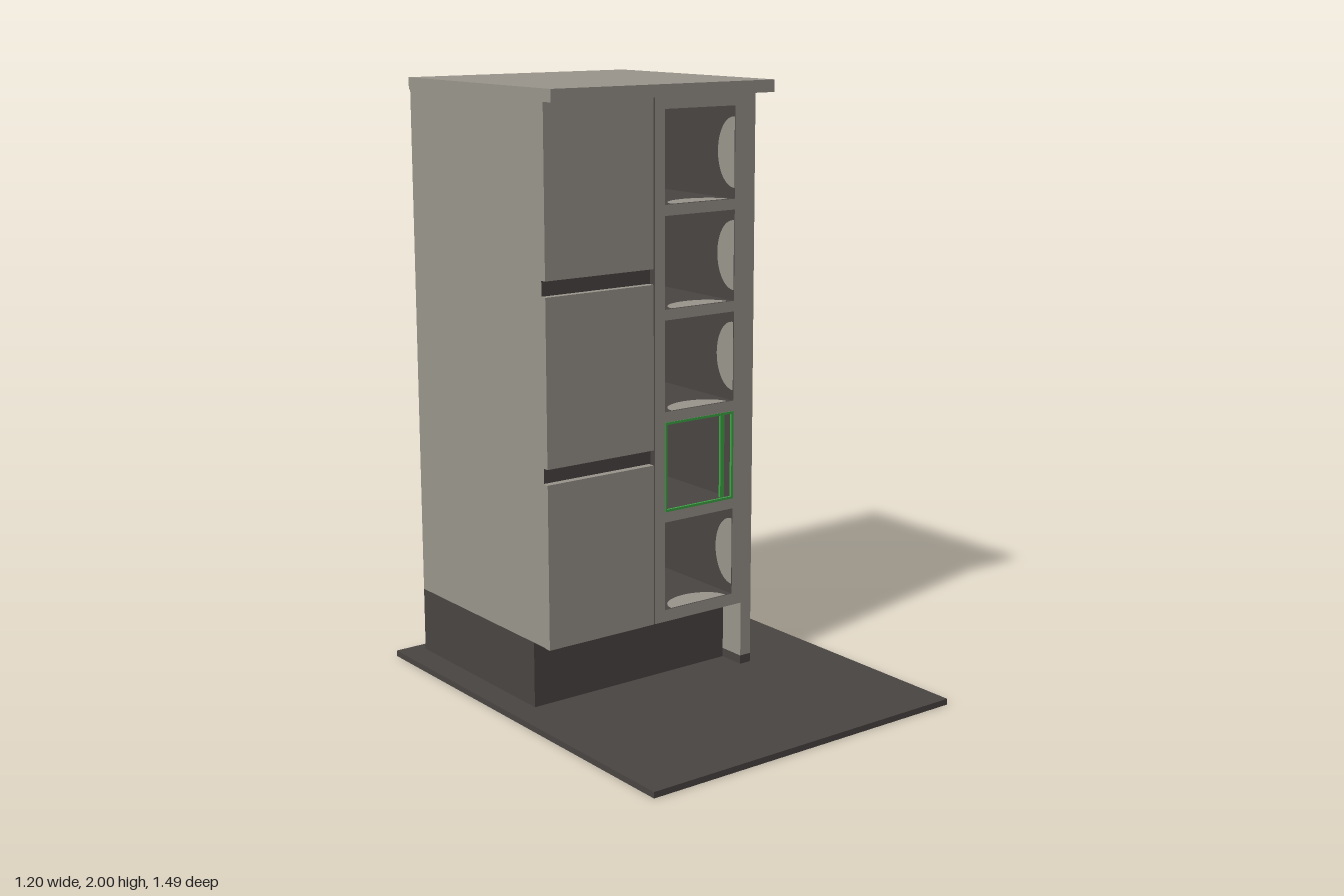
import * as THREE from 'three';

const stone = new THREE.MeshStandardMaterial({ color: 0x9a968d });
stone.name = 'warm grey';
const dark = new THREE.MeshStandardMaterial({ color: 0x4a4543 });
dark.name = 'dark grey';
const green = new THREE.MeshStandardMaterial({ color: 0x3fa846 });
green.name = 'green';

export function createModel() {
  const model = new THREE.Group();
  model.name = 'cabinet';

  // Box given by its minimum and maximum corners
  function box(name, material, [x0, y0, z0], [x1, y1, z1]) {
    const geometry = new THREE.BoxGeometry(x1 - x0, y1 - y0, z1 - z0);
    geometry.translate((x0 + x1) / 2, (y0 + y1) / 2, (z0 + z1) / 2);
    const mesh = new THREE.Mesh(geometry, material);
    mesh.name = name;
    model.add(mesh);
  }

  const front = 0.085, back = -0.7;

  // Floor plate, recessed plinth and worktop with a dark underside
  box('floorPlate', dark, [-0.6, 0, -0.745], [0.6, 0.02, 0.745]);
  box('plinth', dark, [-0.51, 0.02, back], [0.27, 0.24, -0.01]);
  box('worktop', [stone, stone, stone, dark, stone, stone], [-0.515, 1.96, back], [0.355, 2, 0.13]);

  // Drawer carcass: dark front shows in the grip gaps
  box('drawerCarcass', [stone, stone, stone, dark, dark, stone], [-0.51, 0.24, back], [-0.095, 1.96, 0.06]);
  for (const [y0, y1] of [[0.24, 0.78], [0.83, 1.37], [1.42, 1.96]]) {
    box('drawerFront', stone, [-0.513, y0, 0.06], [-0.1, y1, front]);
  }

  // Side panel on a dark foot, and the back of the shelf column
  box('sidePanel', stone, [0.27, 0.05, back], [0.313, 1.96, front]);
  box('sidePanelFoot', dark, [0.27, 0.02, -0.695], [0.313, 0.05, front]);
  box('sidePanelHeel', stone, [0.27, 0.02, back], [0.313, 0.05, -0.695]);
  box('shelfBack', [stone, stone, stone, dark, dark, stone], [-0.095, 0.24, back], [0.27, 1.96, -0.68]);

  // Shelf column with five open compartments
  const left = -0.055, right = 0.23, cellHeight = 0.3;
  const bottoms = [0, 1, 2, 3, 4].map((i) => 0.28 + i * 0.335);
  const face = new THREE.Shape();
  face.moveTo(-0.095, 0.24).lineTo(0.27, 0.24).lineTo(0.27, 1.96).lineTo(-0.095, 1.96).closePath();
  for (const y of bottoms) {
    const hole = new THREE.Path();
    hole.moveTo(left, y).lineTo(left, y + cellHeight).lineTo(right, y + cellHeight).lineTo(right, y).closePath();
    face.holes.push(hole);
  }
  const columnGeometry = new THREE.ExtrudeGeometry(face, { depth: front + 0.68, bevelEnabled: false });
  columnGeometry.translate(0, 0, -0.68);
  const column = new THREE.Mesh(columnGeometry, [stone, dark]);
  column.name = 'shelfColumn';
  model.add(column);

  // Pale half-round patches just inside each plain compartment
  const halfRound = new THREE.Shape();
  halfRound.absellipse(0, 0, 0.115, 0.085, 0, Math.PI);
  const cx = (left + right) / 2;
  bottoms.forEach((y, index) => {
    if (index === 1) return;
    for (let side = 0; side < 4; side++) {
      const reach = side % 2 ? (right - left) / 2 : cellHeight / 2;
      const geometry = new THREE.ShapeGeometry(halfRound, 16);
      geometry.rotateX(-Math.PI / 2);
      geometry.translate(0, 0.002 - reach, front - 0.001);
      geometry.rotateZ(side * Math.PI / 2);
      geometry.translate(cx, y + cellHeight / 2, 0);
      const patch = new THREE.Mesh(geometry, stone);
      patch.name = 'compartmentPatch';
      model.add(patch);
    }
  });

  // Green rim and recessed uprights of the marked compartment
  const y0 = bottoms[1], y1 = y0 + cellHeight, rim = 0.008, z = front + 0.002;
  box('rimBottom', green, [left, y0, z - 0.008], [right, y0 + rim, z]);
  box('rimTop', green, [left, y1 - rim, z - 0.008], [right, y1, z]);
  for (const [outer, dir] of [[left, 1], [right, -1]]) {
    const span = (a, b) => [outer + dir * a, outer + dir * b].sort((p, q) => p - q);
    const [r0, r1] = span(0, rim);
    box('rimSide', green, [r0, y0 + rim, z - 0.008], [r1, y1 - rim, z]);
    const [u0, u1] = span(0.011, 0.027);
    box('upright', green, [u0, y0, 0.045], [u1, y1, 0.053]);
  }

  return model;
}
